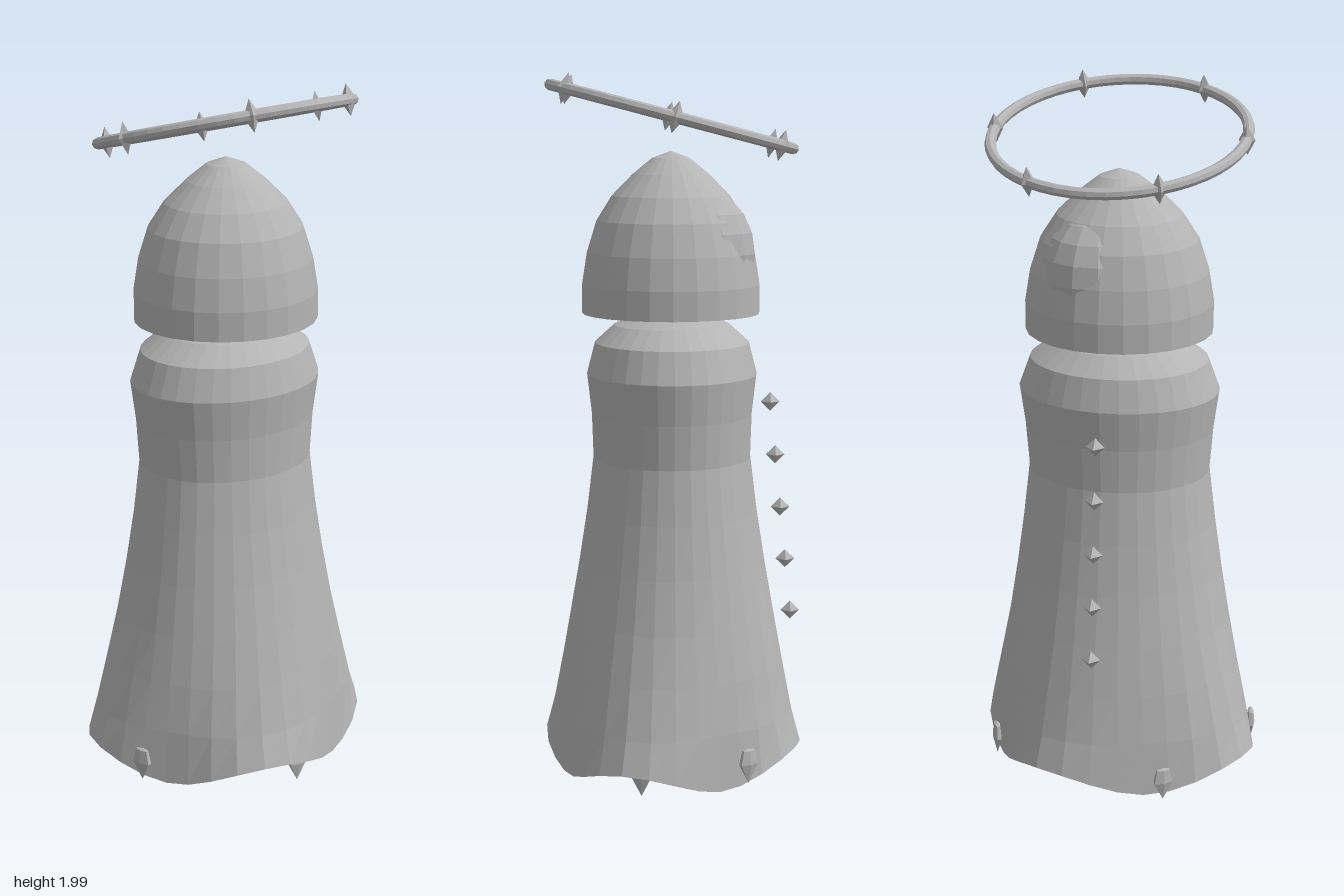
import * as THREE from 'three';

const stone = new THREE.MeshStandardMaterial({ color: 0xb4b4b4, flatShading: true, side: THREE.DoubleSide });
stone.name = 'stone grey';

function add(parent, name, geometry, x = 0, y = 0, z = 0) {
  const mesh = new THREE.Mesh(geometry, stone);
  mesh.name = name;
  mesh.position.set(x, y, z);
  parent.add(mesh);
  return mesh;
}

const lathe = (pts, sides) => new THREE.LatheGeometry(pts.map(p => new THREE.Vector2(...p)), sides);

// Robe: rings of [y, x radius, z radius, wave amount], from hem to collar
function robeGeometry() {
  const rings = [
    [0.055, 0.405, 0.36, 1], [0.18, 0.385, 0.34, 0.7], [0.32, 0.357, 0.318, 0.4],
    [0.46, 0.328, 0.294, 0.2], [0.61, 0.302, 0.268, 0.08], [0.76, 0.28, 0.245, 0],
    [0.915, 0.262, 0.226, 0], [1.04, 0.272, 0.23, 0], [1.155, 0.288, 0.243, 0],
    [1.245, 0.255, 0.22, 0], [1.295, 0.185, 0.165, 0], [1.313, 0.135, 0.12, 0], [1.315, 0.05, 0.05, 0],
  ];
  const sides = 32, position = [], index = [];
  rings.forEach(([y, rx, rz, wave], j) => {
    for (let i = 0; i < sides; i++) {
      const a = i / sides * Math.PI * 2;
      const ripple = Math.cos(4 * (a - 0.35));
      const swell = 1 + wave * (0.07 * ripple + 0.02 * Math.sin(2 * a));
      position.push(rx * swell * Math.cos(a), y + (j === 0 ? 0.035 * ripple : 0), rz * swell * Math.sin(a) + 0.005);
      if (j > 0) {
        const n = (i + 1) % sides, lo = (j - 1) * sides, hi = j * sides;
        index.push(lo + i, hi + i, lo + n, lo + n, hi + i, hi + n);
      }
    }
  });
  const g = new THREE.BufferGeometry();
  g.setAttribute('position', new THREE.Float32BufferAttribute(position, 3));
  g.setIndex(index);
  g.computeVertexNormals();
  return g;
}

export function createModel() {
  const model = new THREE.Group();
  model.name = 'robedFigure';

  add(model, 'robe', robeGeometry());
  add(model, 'neck', new THREE.CylinderGeometry(0.09, 0.09, 0.2, 12), 0, 1.37, 0);

  // Pointed hood, open below, with the head just breaking through its rear
  const hood = add(model, 'hood', lathe([
    [0.266, 1.328], [0.266, 1.41], [0.251, 1.5], [0.222, 1.59],
    [0.176, 1.66], [0.114, 1.72], [0.056, 1.765], [0, 1.785]], 24), 0, 0, 0.008);
  hood.scale.z = 0.95;
  const head = add(model, 'head', new THREE.SphereGeometry(1, 14, 10), 0.04, 1.5, -0.06);
  head.scale.set(0.165, 0.19, 0.17);

  // Row of floating buttons
  for (let i = 0; i < 5; i++) {
    add(model, 'button', new THREE.OctahedronGeometry(0.027), 0, 1.07 - i * 0.154, -0.278 - i * 0.0155);
  }

  // Pointed drops along the hem
  const drop = lathe([[0, 0], [0.032, 0.055], [0.022, 0.095], [0, 0.1]], 6);
  [[-0.2, -0.29, 0.005], [0.325, -0.2, 0.04], [-0.39, 0.08, 0.03], [-0.03, 0.35, 0.005], [0.395, 0.1, 0.03]]
    .forEach(([x, z, y]) => {
      const mesh = add(model, 'hemDrop', drop, x, y, z);
      mesh.rotation.y = Math.atan2(x, z);
      mesh.scale.z = 0.4;
    });

  // Tilted halo with six studs
  const halo = new THREE.Group();
  halo.name = 'halo';
  halo.position.set(0, 1.88, 0.005);
  halo.rotation.x = -0.255;
  const ring = add(halo, 'haloRing', new THREE.TorusGeometry(0.353, 0.016, 8, 48));
  ring.rotation.x = Math.PI / 2;
  for (let i = 0; i < 6; i++) {
    const a = i * Math.PI / 3;
    const stud = add(halo, 'haloStud', new THREE.OctahedronGeometry(1), 0.353 * Math.cos(a), 0, 0.353 * Math.sin(a));
    stud.scale.set(0.023, 0.044, 0.023);
    stud.rotation.y = -a;
  }
  model.add(halo);
  return model;
}
